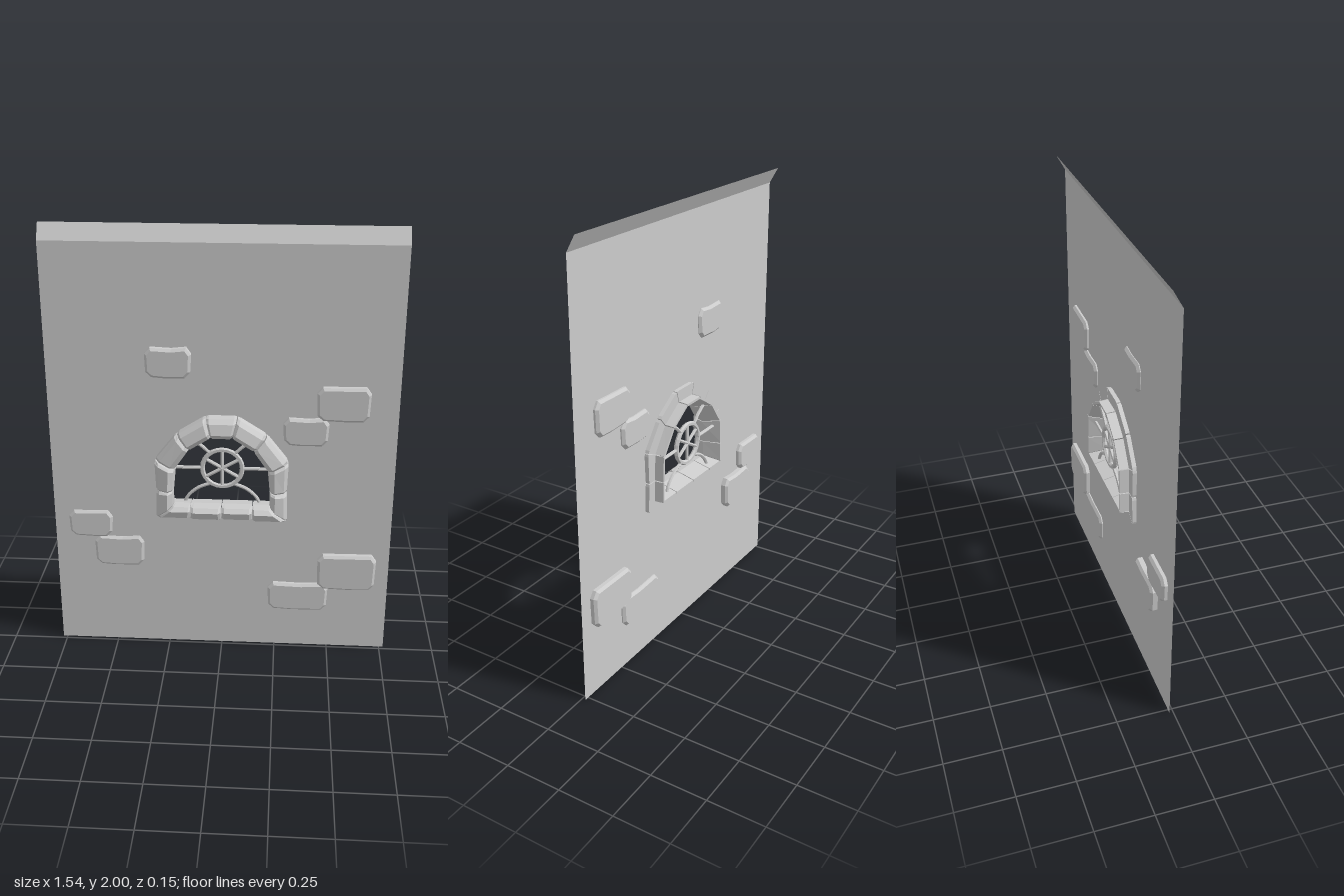
import * as THREE from 'three';

const grey = new THREE.MeshStandardMaterial({ color: 0xcccccc, flatShading: true, side: THREE.DoubleSide });
const WALL_Z = -0.017, BAR_Z = -0.045;
const v2 = (p) => new THREE.Vector2(p[0], p[1]);

function part(name, geometry, parent) {
  const mesh = new THREE.Mesh(geometry, grey);
  mesh.name = name;
  parent.add(mesh);
  return mesh;
}

// Joints of the frame stones as [inner x, inner y, outer x, outer y], left half from sill to crown
const half = [
  [-0.215, 0.75, -0.297, 0.68],
  [-0.215, 0.82, -0.292, 0.82],
  [-0.205, 0.925, -0.298, 0.965],
  [-0.14, 1.02, -0.2, 1.09],
  [-0.045, 1.08, -0.07, 1.172],
];
const mirrored = half.map(([a, b, c, d]) => [-a, b, -c, d]).reverse();
const sill = [0.14, 0, -0.14].map((x) => [x, 0.75, x, 0.68]);
const joints = [...half, ...mirrored, ...sill];

// Stone cross-section: [0 = inner edge .. 1 = outer edge, z]
const profile = [
  [0, 0.0], [0.08, 0.045], [0.32, 0.065], [0.82, 0.05], [1, 0.025],
  [1, -0.036], [0.42, -0.036], [0.4, -0.078], [0.28, -0.078],
];

// One stone lofted between two joints, with its ends eased back
function stoneGeometry(a, b, lift) {
  const sections = [[0.015, 0.012], [0.1, 0], [0.9, 0], [0.985, 0.012]].map(([s, drop]) => {
    const j = a.map((v, i) => v + (b[i] - v) * s);
    return profile.map(([t, z], i) => {
      const r = t > 0.9 ? t - drop * 3 : t;
      const depth = i > 0 && i < 5 ? z + lift - drop : z;
      return new THREE.Vector3(j[0] + (j[2] - j[0]) * r, j[1] + (j[3] - j[1]) * r, depth);
    });
  });
  const n = profile.length, tris = [];
  for (let i = 0; i < 3; i++) for (let j = 0; j < n; j++) {
    const k = (j + 1) % n, p = sections[i], q = sections[i + 1];
    tris.push(p[j], q[j], q[k], p[j], q[k], p[k]);
  }
  for (const [sec, flip] of [[sections[0], false], [sections[3], true]]) {
    const c = sec.reduce((s, p) => s.add(p), new THREE.Vector3()).divideScalar(n);
    sec.forEach((p, j) => {
      const q = sec[(j + 1) % n];
      tris.push(c, flip ? q : p, flip ? p : q);
    });
  }
  const g = new THREE.BufferGeometry().setFromPoints(tris);
  g.computeVertexNormals();
  return g;
}

// Brick with clipped corners, a slightly sagging top and bevelled rims
function brickGeometry(x0, x1, y0, y1, z0, z1, i) {
  const bev = 0.011, c = 0.022;
  const l = x0 + bev, r = x1 - bev, b = y0 + bev, t = y1 - bev;
  const w = 0.005 * (i % 2 ? 1 : -1), m = (l + r) / 2;
  const outline = [
    [l + c, b + 0.004], [m + w * 4, b], [r - c, b + 0.002], [r - 0.004, b + c], [r, t - c],
    [r - c * 0.7, t], [m - w * 3, t - 0.004 + w / 2], [l + c * 0.8, t - 0.002], [l, t - c], [l + 0.003, b + c],
  ];
  const g = new THREE.ExtrudeGeometry(new THREE.Shape(outline.map(v2)), {
    depth: z1 - z0 - 2 * bev, bevelEnabled: true, bevelSize: bev, bevelThickness: bev, bevelSegments: 1,
  });
  return g.translate(0, 0, z0 + bev);
}

export function createModel() {
  const model = new THREE.Group();
  model.name = 'wallWithWindow';

  // Thin wall with an arched opening, its top edge folded back
  const panel = new THREE.Shape([[-0.77, 0], [0.77, 0], [0.77, 1.93], [-0.77, 1.93]].map(v2));
  panel.holes.push(new THREE.Path(joints.map(([a, b, c, d]) => new THREE.Vector2((a + c) / 2, (b + d) / 2))));
  part('wall', new THREE.ShapeGeometry(panel).translate(0, 0, WALL_Z), model);
  const fold = new THREE.PlaneGeometry(1.54, Math.hypot(0.07, 0.04));
  fold.translate(0, Math.hypot(0.07, 0.04) / 2, 0).rotateX(-Math.atan2(0.04, 0.07));
  part('wallTopFold', fold.translate(0, 1.93, WALL_Z), model);

  // Loose bricks: x range, y range, z range
  const bricks = new THREE.Group();
  bricks.name = 'bricks';
  model.add(bricks);
  [
    [-0.333, -0.132, 1.345, 1.483, -0.031, 0.014],
    [0.413, 0.645, 1.16, 1.318, -0.037, 0.014],
    [0.27, 0.47, 1.04, 1.172, -0.034, 0.008],
    [-0.704, -0.503, 0.556, 0.69, -0.042, -0.002],
    [-0.59, -0.36, 0.408, 0.563, -0.05, -0.004],
    [0.442, 0.71, 0.32, 0.5, -0.045, 0.015],
    [0.215, 0.494, 0.2, 0.345, -0.033, 0.006],
  ].forEach((b, i) => part('brick', brickGeometry(...b, i), bricks));

  // Ring of stones around the window
  const frame = new THREE.Group();
  frame.name = 'windowFrame';
  model.add(frame);
  joints.forEach((j, i) => {
    const lift = [-0.003, 0.002, -0.006, 0, 0.006][i % 5];
    part('frameStone', stoneGeometry(j, joints[(i + 1) % joints.length], lift), frame);
  });

  // Window lattice: wheel with six spokes and bars reaching the frame
  const lattice = new THREE.Group();
  lattice.name = 'windowLattice';
  model.add(lattice);
  const cy = 0.905;
  part('wheelRim', new THREE.TorusGeometry(0.09, 0.011, 6, 24), lattice).position.set(0, cy, BAR_Z);
  for (let i = 0; i < 3; i++) {
    const spoke = part('wheelSpokes', new THREE.CylinderGeometry(0.008, 0.008, 0.17, 6), lattice);
    spoke.position.set(0, cy, BAR_Z);
    spoke.rotation.z = (i * Math.PI) / 3;
  }
  const bar = (pts) => new THREE.TubeGeometry(
    new THREE.CatmullRomCurve3(pts.map(([x, y]) => new THREE.Vector3(x, y, BAR_Z))), 8, 0.008, 6);
  for (const s of [-1, 1]) {
    part('sideBar', bar([[s * 0.095, cy], [s * 0.225, cy]]), lattice);
    part('upperBar', bar([[s * 0.055, 0.975], [s * 0.09, 1.01], [s * 0.15, 1.05]]), lattice);
    part('lowerBar', bar([[s * 0.05, 0.83], [s * 0.11, 0.805], [s * 0.155, 0.765], [s * 0.17, 0.735]]), lattice);
  }
  return model;
}
